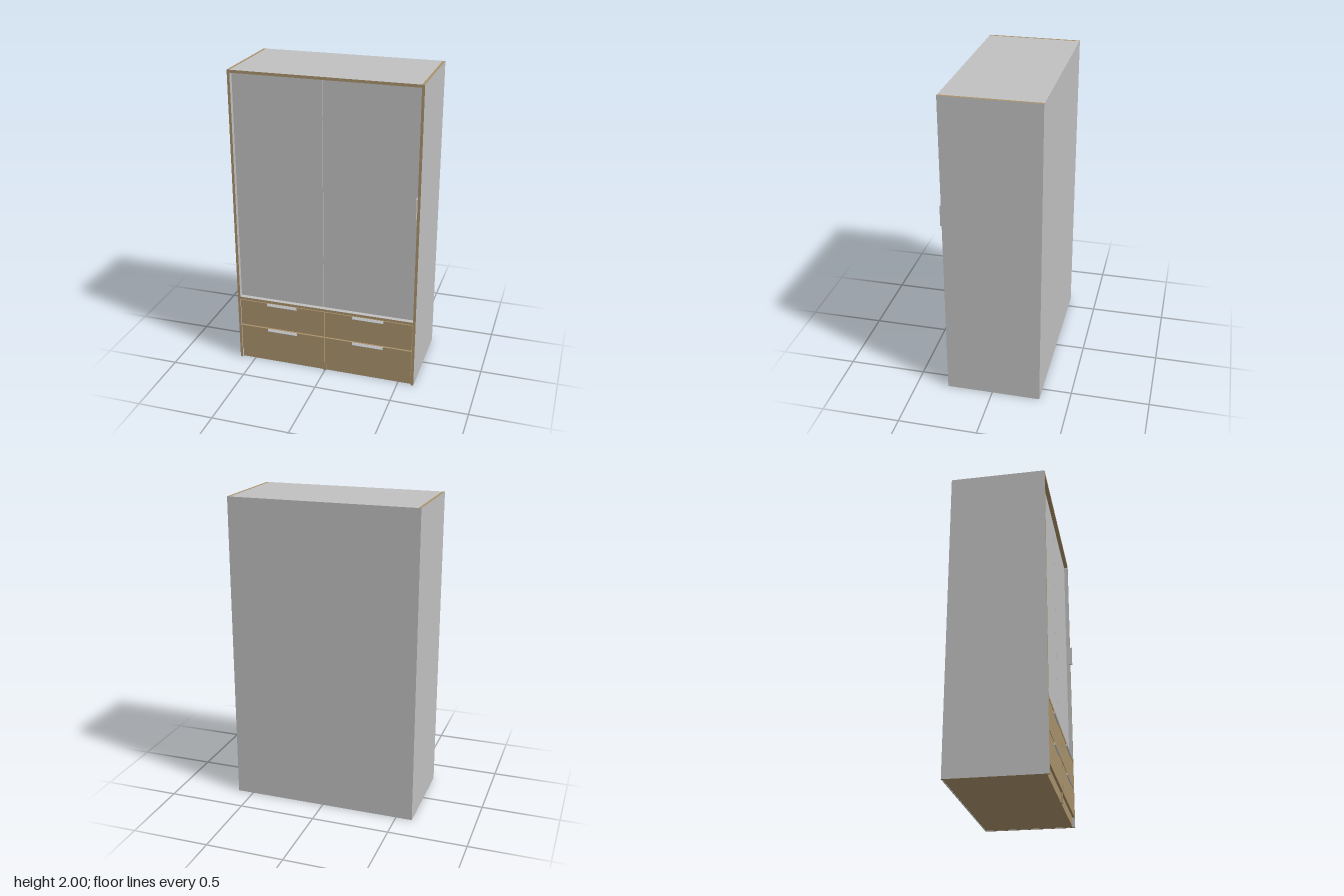
import * as THREE from 'three';

export function createModel() {
  const root = new THREE.Group();
  root.name = 'wardrobe';
  const mat = (name, color) => {
    const m = new THREE.MeshStandardMaterial({ color });
    m.name = name;
    return m;
  };
  const grey = mat('light grey laminate', 0xc0c0c0);
  const wood = mat('oak wood', 0xa9926b);
  const metal = mat('handle metal', 0xc9ccd2);

  // Box given by its minimum and maximum corners
  const box = (name, [x0, y0, z0], [x1, y1, z1], material) => {
    const mesh = new THREE.Mesh(new THREE.BoxGeometry(x1 - x0, y1 - y0, z1 - z0), material);
    mesh.position.set((x0 + x1) / 2, (y0 + y1) / 2, (z0 + z1) / 2);
    mesh.name = name;
    root.add(mesh);
    return mesh;
  };

  const W = 0.605, IN = 0.588, BACK = -0.31, FRONT = 0.295;
  // Face order: +x, -x, +y, -y, +z, -z
  const sideMats = [grey, grey, wood, wood, wood, grey];
  const boardMats = [grey, grey, grey, wood, wood, grey];

  // Carcass
  box('rightSidePanel', [-W, 0, BACK], [-IN, 2, FRONT], sideMats);
  box('leftSidePanel', [IN, 0, BACK], [W, 2, FRONT], sideMats);
  box('topBoard', [-IN, 1.982, BACK], [IN, 2, FRONT], boardMats);
  box('middleBoard', [-IN, 0.448, BACK + 0.006], [IN, 0.465, FRONT], boardMats);
  box('bottomBoard', [-IN, 0.002, BACK + 0.006], [IN, 0.018, 0.272], wood);
  box('backPanel', [-IN, 0, BACK], [IN, 1.982, BACK + 0.006], grey);
  box('drawerDivider', [-0.008, 0.018, BACK + 0.006], [0.008, 0.448, 0.272], wood);
  box('centreFoot', [-0.01, 0, 0.27], [0.01, 0.064, 0.29], wood);

  // Doors, set back a little inside the frame
  box('rightDoor', [-0.586, 0.468, 0.25], [-0.0125, 1.979, 0.27], grey);
  box('leftDoor', [-0.0095, 0.468, 0.25], [0.584, 1.979, 0.27], grey);
  box('doorHandle', [0.58, 1.175, 0.27], [0.585, 1.308, 0.31], grey);

  // Slanted pull profile, drawn as depth and height
  const pull = new THREE.Shape();
  pull.moveTo(0, 0.016);
  pull.lineTo(0.003, 0.016);
  pull.lineTo(0.010, 0.002);
  pull.lineTo(0.009, 0);
  pull.lineTo(0, 0);
  const pullGeo = new THREE.ExtrudeGeometry(pull, { depth: 0.205, bevelEnabled: false });
  pullGeo.translate(0, 0, -0.1025).rotateY(-Math.PI / 2);

  // Plinth, drawers and pulls on both sides
  for (const [side, s] of [['left', 1], ['right', -1]]) {
    const span = (a, b) => (s > 0 ? [a, b] : [-b, -a]);
    const [p0, p1] = span(0.01, IN);
    box(side + 'Plinth', [p0, 0, 0.262], [p1, 0.064, 0.28], wood);
    const [d0, d1] = span(0.003, 0.585);
    for (const [row, y0, y1] of [['Lower', 0.066, 0.251], ['Upper', 0.26, 0.443]]) {
      box(side + row + 'Drawer', [d0, y0, 0.272], [d1, y1, 0.294], wood);
      box(side + row + 'DrawerBox', [d0 + 0.02, y0 + 0.02, -0.25], [d1 - 0.02, y1 - 0.03, 0.272], wood);
      const handle = new THREE.Mesh(pullGeo, metal);
      handle.name = side + row + 'DrawerPull';
      // Mirror the extruded pull so that its slope faces forward
      handle.position.set(s * 0.293, y1 - 0.016, 0.294);
      root.add(handle);
    }
  }
  return root;
}
